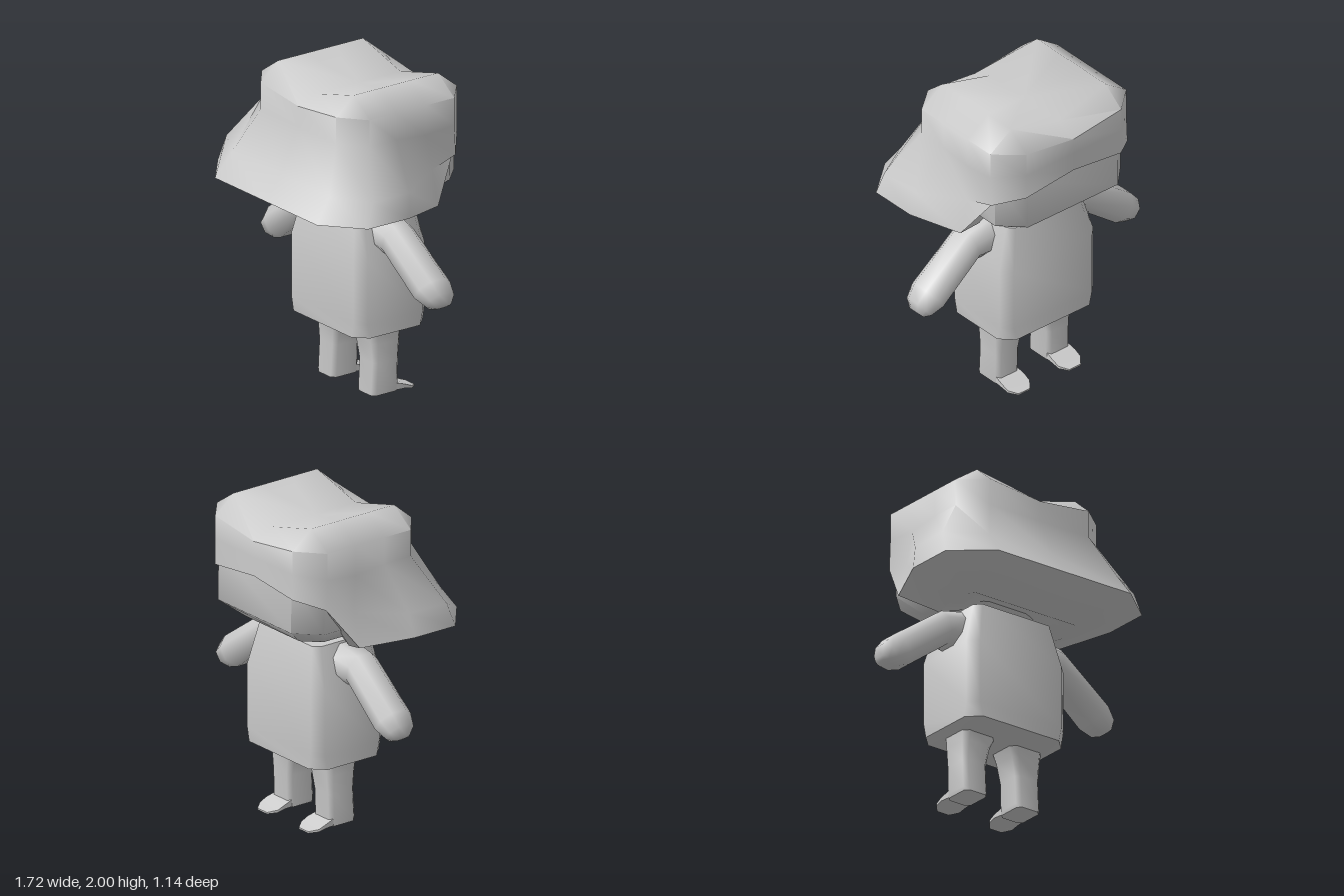
import * as THREE from 'three';
import { toCreasedNormals } from 'three/addons/utils/BufferGeometryUtils.js';

const grey = new THREE.MeshStandardMaterial({ color: 0xcccccc, side: THREE.DoubleSide });
grey.name = 'plain grey';

// Closed skin over a list of rings with equal point counts; ends are fanned to a centre
function loft(name, rings, startCentre, crease = 1.15) {
  const n = rings[0].length, last = rings.length - 1;
  const mean = r => [0, 1, 2].map(k => r.reduce((s, p) => s + p[k], 0) / n);
  const points = [...rings.flat(), startCentre || mean(rings[0]), mean(rings[last])];
  const index = [], s = n * rings.length, e = s + 1;
  for (let i = 0; i < n; i++) {
    const j = (i + 1) % n;
    for (let r = 0; r < last; r++) {
      const a = r * n + i, b = a + n, c = (r + 1) * n + j, d = r * n + j;
      index.push(a, b, c, a, c, d);
    }
    index.push(s, i, j, e, last * n + j, last * n + i);
  }
  const g = new THREE.BufferGeometry();
  g.setAttribute('position', new THREE.Float32BufferAttribute(points.flat(), 3));
  g.setIndex(index);
  const mesh = new THREE.Mesh(toCreasedNormals(g, crease), grey);
  mesh.name = name;
  return mesh;
}

// Horizontal rectangle with chamfered corners
const oct = (y, x0, x1, zf, zb, c) => [
  [x1 - c, y, zf], [x1, y, zf - c], [x1, y, zb + c], [x1 - c, y, zb],
  [x0 + c, y, zb], [x0, y, zb + c], [x0, y, zf - c], [x0 + c, y, zf],
];

// Complete a half ring (front centre to back centre) by mirroring it in x
const whole = half => [...half, ...half.slice(1, -1).reverse().map(([x, y, z]) => [-x, y, z])];

// Mirror rings to the other side, keeping the winding
const sided = (rings, side) =>
  side > 0 ? rings : rings.map(r => r.map(([x, y, z]) => [-x, y, z]).reverse());

export function createModel() {
  const model = new THREE.Group();
  model.name = 'character';

  // Hair: two-humped cap flaring into a wide skirt, open over the face at -z
  model.add(loft('hair', [
    [[0, 1.9, 0.2], [0.37, 2, 0.2], [0.37, 2, 0.2], [0.37, 2, 0], [0.37, 2, -0.22], [0.37, 2, -0.43], [0.37, 2, -0.43], [0, 1.9, -0.43]],
    [[0, 1.85, 0.33], [0.37, 1.89, 0.33], [0.53, 1.89, 0.2], [0.53, 1.89, 0], [0.53, 1.89, -0.22], [0.53, 1.89, -0.43], [0.37, 1.89, -0.57], [0, 1.84, -0.57]],
    [[0, 1.72, 0.33], [0.37, 1.72, 0.33], [0.53, 1.72, 0.2], [0.53, 1.72, 0], [0.53, 1.7, -0.22], [0.53, 1.72, -0.43], [0.37, 1.74, -0.57], [0, 1.74, -0.57]],
    [[0, 1.45, 0.46], [0.48, 1.45, 0.46], [0.72, 1.45, 0.32], [0.71, 1.45, 0.04], [0.55, 1.48, -0.25], [0.53, 1.53, -0.44], [0.37, 1.58, -0.57], [0, 1.62, -0.57]],
    [[0, 1.3, 0.57], [0.5, 1.3, 0.57], [0.74, 1.3, 0.37], [0.74, 1.3, 0.06], [0.61, 1.27, -0.25], [0.51, 1.53, -0.43], [0.36, 1.58, -0.55], [0, 1.62, -0.55]],
    [[0, 1.19, 0.2], [0.38, 1.19, 0.2], [0.42, 1.19, 0.15], [0.42, 1.19, 0], [0.38, 1.19, -0.15], [0.4, 1.5, -0.3], [0.3, 1.55, -0.4], [0, 1.58, -0.4]],
  ].map(whole), [0, 1.9, -0.11]));

  // Face
  model.add(loft('head', [
    oct(1.68, -0.49, 0.49, 0.1, -0.56, 0.14),
    oct(1.36, -0.49, 0.49, 0.1, -0.565, 0.14),
    oct(1.25, -0.36, 0.36, 0, -0.43, 0.1),
  ]));

  // Torso, narrowing at the shoulders
  model.add(loft('torso', [
    oct(1.19, -0.29, 0.29, 0.1, -0.33, 0.04),
    oct(0.92, -0.365, 0.365, 0.15, -0.38, 0.06),
    oct(0.52, -0.365, 0.365, 0.15, -0.38, 0.06),
    oct(0.43, -0.365, 0.365, 0.15, -0.38, 0.08),
    oct(0.4, -0.28, 0.28, 0, -0.24, 0.04),
  ]));

  // Arm section between an upper and a lower edge point, rounded in z
  const armRing = ([tx, ty, bx, by, zf, zb]) => {
    const at = (t, z) => [bx + (tx - bx) * t, by + (ty - by) * t, z];
    const d = (zf - zb) * 0.27;
    return [at(0.3, zf), at(0.72, zf), at(1, zf - d), at(1, zb + d),
      at(0.72, zb), at(0.3, zb), at(0, zb + d), at(0, zf - d)];
  };
  const arm = [
    [0.28, 1.18, 0.32, 0.94, 0.02, -0.22],
    [0.45, 1.14, 0.4, 0.94, 0.02, -0.2],
    [0.8, 0.89, 0.68, 0.73, 0.01, -0.22],
    [0.86, 0.82, 0.765, 0.7, -0.02, -0.2],
    [0.855, 0.75, 0.82, 0.715, -0.06, -0.17],
  ].map(armRing);

  const leg = [
    oct(0.42, 0.05, 0.295, 0, -0.23, 0.035),
    oct(0.34, 0.085, 0.29, -0.015, -0.225, 0.03),
    oct(0.22, 0.11, 0.285, -0.025, -0.215, 0.025),
    oct(0.04, 0.11, 0.285, -0.015, -0.21, 0.025),
    oct(0.015, 0.115, 0.28, -0.015, -0.21, 0.025),
  ];

  // Thin toe flap pointing to -z
  const toe = [
    [-0.17, 0.07, 0.02, 0.08], [-0.25, 0.045, 0.02, 0.088],
    [-0.3, 0.024, 0.008, 0.085], [-0.35, 0.01, 0, 0.045],
  ].map(([z, top, bottom, w]) => [
    [0.198 + w, top, z], [0.198 - w, top, z], [0.198 - w, bottom, z], [0.198 + w, bottom, z],
  ]);

  for (const [side, label] of [[1, 'left'], [-1, 'right']]) {
    model.add(
      loft(label + 'Arm', sided(arm, side)),
      loft(label + 'Leg', sided(leg, side)),
      loft(label + 'Toe', sided(toe, side)),
    );
  }
  return model;
}
